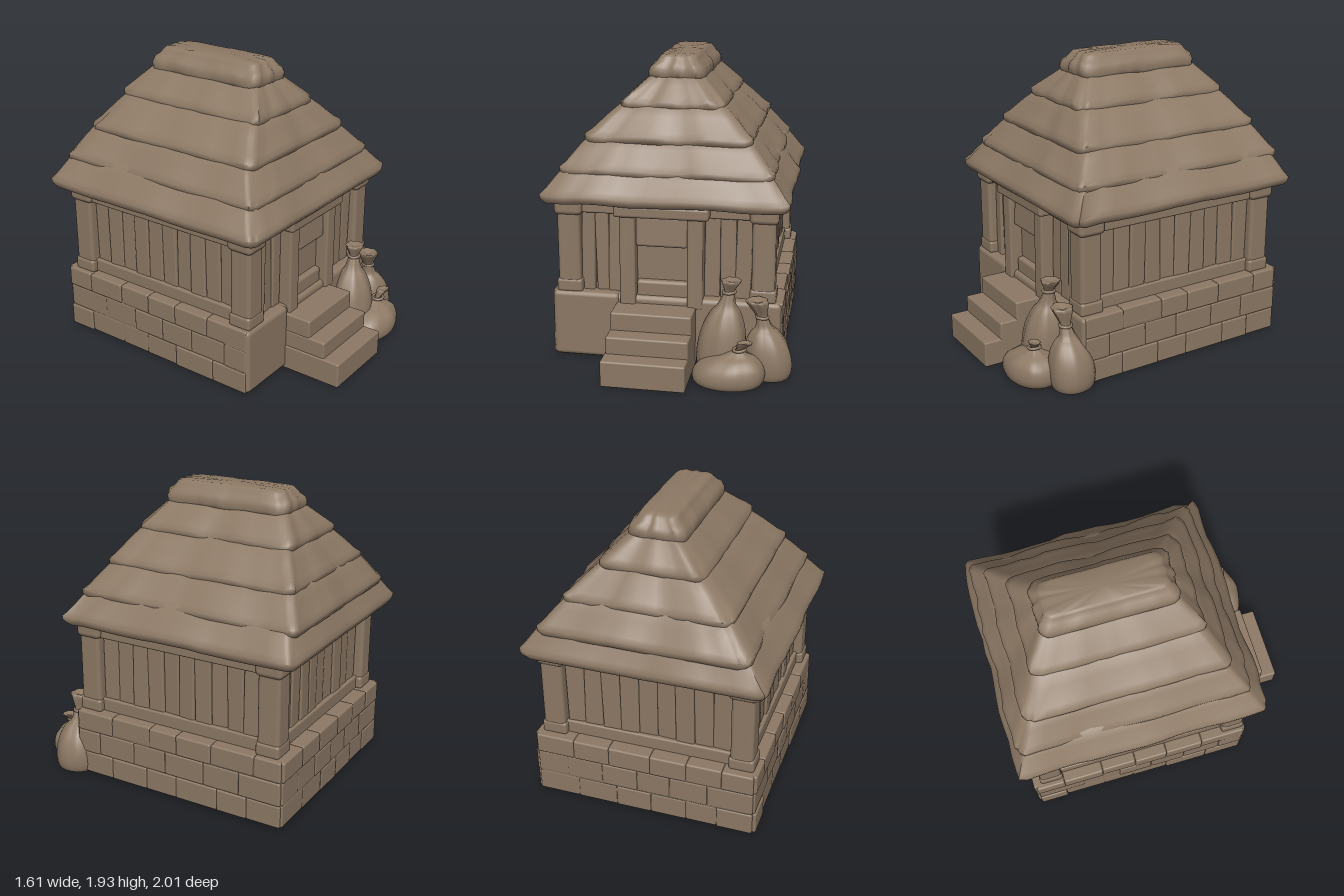
import * as THREE from 'three';
import { mergeVertices, toCreasedNormals } from 'three/addons/utils/BufferGeometryUtils.js';
import { RoundedBoxGeometry } from 'three/addons/geometries/RoundedBoxGeometry.js';

const clay = new THREE.MeshStandardMaterial({ color: 0x8c7864 });
clay.name = 'brown clay';

let seed = 7;
const rand = () => (seed = (seed * 16807) % 2147483647) / 2147483647;
const jitter = (a) => (rand() * 2 - 1) * a;

export function createModel() {
  const model = new THREE.Group();
  model.name = 'thatchedHut';

  function add(name, geometry, parent = model) {
    const mesh = new THREE.Mesh(geometry, clay);
    mesh.name = name;
    parent.add(mesh);
    return mesh;
  }

  // Soft-edged block given by its limits
  function block(name, x0, x1, y0, y1, z0, z1, r = 0.012) {
    const w = x1 - x0, h = y1 - y0, d = z1 - z0;
    const mesh = add(name, new RoundedBoxGeometry(w, h, d, 2, Math.min(r, w / 2.1, h / 2.1, d / 2.1)));
    mesh.position.set((x0 + x1) / 2, (y0 + y1) / 2, (z0 + z1) / 2);
    return mesh;
  }

  // Rectangle outline with trimmed corners; n points on each side
  function outline(x0, x1, z0, z1, r, n = 14) {
    const cx = (x0 + x1) / 2, cz = (z0 + z1) / 2, hx = (x1 - x0) / 2, hz = (z1 - z0) / 2;
    const pts = [];
    const corners = [[1, 1, 0], [-1, 1, 1], [-1, -1, 2], [1, -1, 3]];
    corners.forEach(([sx, sz, q], i) => {
      for (let k = 0; k <= 4; k++) {
        const a = (q + k / 4) * Math.PI / 2;
        pts.push([cx + sx * (hx - r) + r * Math.cos(a), cz + sz * (hz - r) + r * Math.sin(a)]);
      }
      const [nx, nz, nq] = corners[(i + 1) % 4];
      const a = nq * Math.PI / 2, last = pts[pts.length - 1];
      const ex = cx + nx * (hx - r) + r * Math.cos(a), ez = cz + nz * (hz - r) + r * Math.sin(a);
      for (let k = 1; k < n; k++) {
        pts.push([last[0] + (ex - last[0]) * k / n, last[1] + (ez - last[1]) * k / n]);
      }
    });
    return pts;
  }

  // Closed solid through stacked rings of [x, y, z]
  function loft(rings, crease) {
    const n = rings[0].length, index = [];
    for (let i = 0; i < rings.length - 1; i++) {
      for (let j = 0; j < n; j++) {
        const a = i * n + j, b = i * n + (j + 1) % n;
        index.push(a, a + n, b, b, a + n, b + n);
      }
    }
    const g = new THREE.BufferGeometry();
    g.setAttribute('position', new THREE.Float32BufferAttribute(rings.flat(2), 3));
    g.setIndex(index);
    return toCreasedNormals(g, crease);
  }

  // Thatch tiers: lower limits, upper limits, eave height, top height
  const tiers = [
    [[-0.81, 0.75, -1.0, 0.67], [-0.65, 0.6, -0.9, 0.53], 1.04, 1.29],
    [[-0.695, 0.645, -0.96, 0.585], [-0.52, 0.46, -0.83, 0.43], 1.2, 1.46],
    [[-0.56, 0.5, -0.86, 0.48], [-0.33, 0.29, -0.71, 0.33], 1.39, 1.65],
    [[-0.36, 0.315, -0.74, 0.36], [-0.18, 0.15, -0.61, 0.22], 1.59, 1.81],
    [[-0.2, 0.17, -0.625, 0.24], [-0.13, 0.11, -0.57, 0.185], 1.77, 1.925],
  ];
  tiers.forEach(([lo, hi, y0, y1], t) => {
    const cx = (lo[0] + lo[1]) / 2, cz = (lo[2] + lo[3]) / 2;
    const first = outline(...lo, 0.06);
    const last = outline(...hi, 0.05);
    const ragged = first.map((p, j) => 0.007 * Math.sin(j * 0.9 + t) + jitter(0.006));
    // [blend to the upper outline, shrink to the centre, height, raggedness]
    const steps = [
      [0, 0, y0 + 0.015, 0], [0, 0.93, y0, 1], [0, 0.975, y0 + 0.005, 1], [0, 0.995, y0 + 0.03, 1],
      [0.02, 1, y0 + 0.055, 1], [0.2, 1, y0 + 0.085, 0.8], [0.6, 1, y0 + (y1 - y0) * 0.68, 0.5],
      [0.92, 1, y1 - 0.02, 0.4], [1, 0.97, y1 - 0.005, 0.3], [1, 0.85, y1, 0.2], [1, 0, y1, 0],
    ];
    const rings = steps.map(([f, s, y, k]) => first.map((p, j) => {
      const x = p[0] + (last[j][0] - p[0]) * f, z = p[1] + (last[j][1] - p[1]) * f;
      const out = s + ragged[j] * k / 0.7;
      return [cx + (x - cx) * out, y + ragged[j] * k, cz + (z - cz) * out];
    }));
    add('thatchTier' + (t + 1), loft(rings, 1.0));
  });

  // Stone base with courses of slightly uneven stones
  block('baseCore', -0.75, 0.71, 0, 0.445, -0.93, 0.585, 0.035);
  const courses = [[0.012, 0.16], [0.16, 0.315], [0.315, 0.45]];
  courses.forEach(([y0, y1], c) => {
    const row = (from, to, count, place) => {
      const cuts = [from];
      for (let i = 1; i < count; i++) cuts.push(from + (to - from) * (i + (c % 2 ? 0.25 : -0.15) + jitter(0.12)) / count);
      cuts.push(to);
      for (let i = 0; i < count; i++) place(cuts[i], cuts[i + 1], 0.006 + rand() * 0.012);
    };
    row(-0.92, 0.58, 6, (a, b, o) => block('rightStone', 0.6, 0.705 + o, y0, y1, a, b));
    row(-0.92, 0.58, 6, (a, b, o) => block('leftStone', -0.745 - o, -0.64, y0, y1, a, b));
    row(-0.74, 0.7, 6, (a, b, o) => block('backStone', a, b, y0, y1, -0.925 - o, -0.82));
  });
  block('frontStoneLeft', -0.755, -0.32, 0.01, 0.45, 0.4, 0.6, 0.03);
  block('frontStoneRight', 0.16, 0.715, 0.01, 0.45, 0.4, 0.6, 0.03);

  // Inner walls
  block('innerWall', -0.64, 0.59, 0.4, 1.06, -0.8, 0.5);

  // Corner posts with a foot and a cap
  for (const x of [-0.645, 0.595]) {
    for (const z of [-0.805, 0.505]) {
      block('post', x - 0.073, x + 0.073, 0.44, 1.06, z - 0.075, z + 0.075, 0.025);
      block('postFoot', x - 0.083, x + 0.083, 0.44, 0.53, z - 0.08, z + 0.08, 0.02);
      block('postCap', x - 0.09, x + 0.09, 0.955, 1.07, z - 0.09, z + 0.09, 0.03);
    }
  }

  // Uneven upright planks between two limits
  function planks(from, to, count, make) {
    const w = (to - from) / count;
    for (let i = 0; i < count; i++) {
      const { mesh, turn } = make(from + i * w, from + (i + 1) * w, rand() * 0.018);
      mesh.rotation.y = jitter(0.1);
      mesh.rotation[turn] = jitter(0.025);
    }
  }
  planks(-0.73, 0.43, 10, (a, b, o) => ({ mesh: block('rightPlank', 0.55, 0.605 + o, 0.44, 1.0, a, b), turn: 'x' }));
  planks(-0.73, 0.43, 10, (a, b, o) => ({ mesh: block('leftPlank', -0.655 - o, -0.6, 0.44, 1.0, a, b), turn: 'x' }));
  planks(-0.57, 0.52, 9, (a, b, o) => ({ mesh: block('backPlank', a, b, 0.44, 1.0, -0.815 - o, -0.76), turn: 'z' }));
  planks(-0.57, -0.31, 3, (a, b, o) => ({ mesh: block('frontPlank', a, b, 0.44, 1.0, 0.46, 0.515 + o), turn: 'z' }));
  planks(0.22, 0.52, 3, (a, b, o) => ({ mesh: block('frontPlank', a, b, 0.44, 1.0, 0.46, 0.515 + o), turn: 'z' }));

  // Sills and top beams
  for (const [name, y0, y1, o] of [['sill', 0.44, 0.535, 0], ['topBeam', 0.96, 1.06, 0.02]]) {
    block(name + 'Right', 0.55, 0.635 + o, y0, y1, -0.75, 0.45);
    block(name + 'Left', -0.685 - o, -0.6, y0, y1, -0.75, 0.45);
    block(name + 'Back', -0.6, 0.55, y0, y1, -0.845 - o, -0.76);
  }
  block('topBeamFront', -0.6, 0.55, 0.97, 1.06, 0.46, 0.56);

  // Doorway and door boards
  block('doorJambLeft', 0.12, 0.22, 0.38, 1.0, 0.45, 0.605, 0.015);
  block('doorJambRight', -0.31, -0.21, 0.38, 1.0, 0.45, 0.605, 0.015);
  block('doorLintel', -0.34, 0.26, 0.97, 1.05, 0.45, 0.635, 0.02);
  block('doorPanel', -0.22, 0.13, 0.4, 1.0, 0.46, 0.52);
  block('doorTopBoard', -0.21, 0.12, 0.77, 0.97, 0.5, 0.575, 0.02).rotation.x = -0.06;
  block('doorBottomBoard', -0.21, 0.12, 0.41, 0.54, 0.5, 0.56, 0.02);

  // Front steps
  block('topStep', -0.335, 0.175, 0, 0.395, 0.5, 0.77, 0.012);
  block('middleStep', -0.34, 0.175, 0, 0.28, 0.5, 0.885, 0.012);
  block('bottomStep', -0.35, 0.175, 0, 0.17, 0.5, 1.0, 0.012);

  // Tied sack: lumpy body whose neck leans sideways, with a cord
  function sack(name, x, z, rx, rz, height, leanX, leanZ, neck) {
    const group = new THREE.Group();
    group.name = name;
    const body = [[0, 0], [0.75, 0], [0.93, 0.05], [1, 0.2], [0.97, 0.4], [0.84, 0.6], [0.6, 0.77], [0.36, 0.87]];
    const profile = body.map(([r, y]) => new THREE.Vector2(r, y * (height - neck)));
    const bodyTop = height - neck;
    const n = neck / 0.09, base = Math.max(rx, rz);
    for (const [r, y] of [[0.036, 0], [0.032, 0.25], [0.05, 0.65], [0.062, 0.95], [0.045, 1], [0, 0.85]]) {
      profile.push(new THREE.Vector2(r * Math.min(n, 1.1) / base, bodyTop + y * neck));
    }
    let g = new THREE.LatheGeometry(new THREE.SplineCurve(profile).getPoints(44), 32);
    g.deleteAttribute('uv');
    g.deleteAttribute('normal');
    const p = g.attributes.position;
    for (let i = 0; i < p.count; i++) {
      const y = p.getY(i), t = y / height, a = Math.atan2(p.getZ(i), p.getX(i));
      const pleat = 1 + 0.07 * t * Math.sin(a * 7 + x * 9) + 0.03 * Math.sin(a * 3 + z * 8);
      p.setXYZ(i, p.getX(i) * rx * pleat + leanX * t * t, Math.max(y, 0), p.getZ(i) * rz * pleat + leanZ * t * t);
    }
    g = mergeVertices(g, 1e-4);
    g.computeVertexNormals();
    add(name + 'Body', g, group);
    const cord = add(name + 'Cord', new THREE.TorusGeometry(0.036, 0.01, 8, 20), group);
    const t = (bodyTop + neck * 0.15) / height;
    cord.position.set(leanX * t * t, bodyTop + neck * 0.15, leanZ * t * t);
    cord.rotation.set(Math.PI / 2, leanX, 0);
    group.position.set(x, 0, z);
    model.add(group);
  }
  sack('frontSack', 0.41, 0.78, 0.225, 0.185, 0.285, 0.11, 0.05, 0.065);
  sack('sideSack', 0.65, 0.645, 0.15, 0.145, 0.5, -0.08, 0.02, 0.13);
  sack('tallSack', 0.35, 0.67, 0.155, 0.15, 0.615, 0.06, -0.02, 0.09);

  return model;
}
